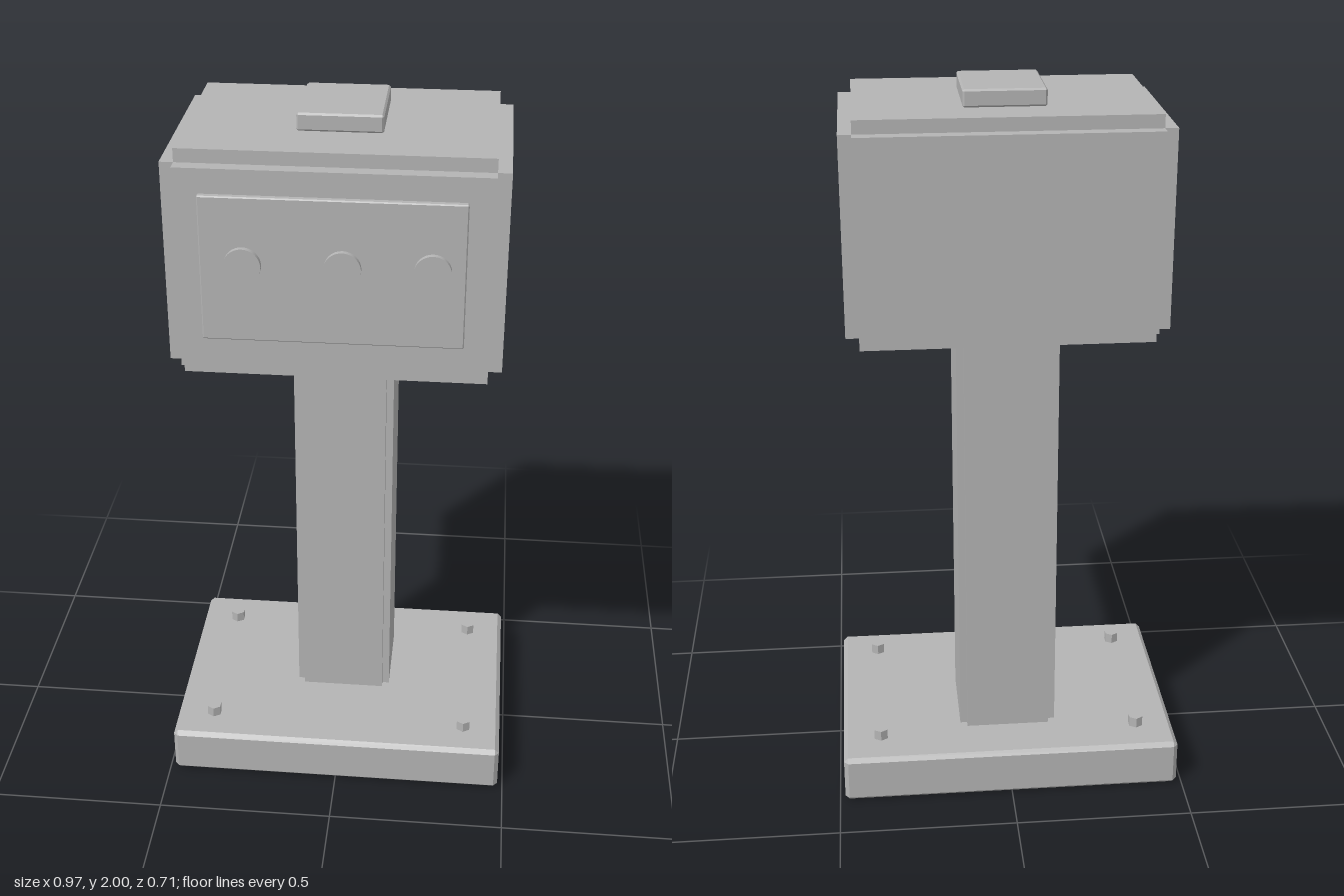
import * as THREE from 'three';
import { ConvexGeometry } from 'three/addons/geometries/ConvexGeometry.js';

const grey = new THREE.MeshStandardMaterial({ color: 0xb4b4b4 });
grey.name = 'plain grey';

// Box given by its lower and upper corners
function box(name, [x0, y0, z0], [x1, y1, z1]) {
  const mesh = new THREE.Mesh(new THREE.BoxGeometry(x1 - x0, y1 - y0, z1 - z0), grey);
  mesh.position.set((x0 + x1) / 2, (y0 + y1) / 2, (z0 + z1) / 2);
  mesh.name = name;
  return mesh;
}

// Box with every edge cut at 45 degrees by c
function chamferBox(name, lo, hi, c) {
  const half = lo.map((v, i) => (hi[i] - v) / 2);
  const points = [];
  for (const sx of [-1, 1]) for (const sy of [-1, 1]) for (const sz of [-1, 1]) {
    for (let axis = 0; axis < 3; axis++) {
      const p = [sx, sy, sz].map((s, i) => s * (half[i] - (i === axis ? 0 : c)));
      points.push(new THREE.Vector3(...p));
    }
  }
  const mesh = new THREE.Mesh(new ConvexGeometry(points), grey);
  mesh.position.set(...lo.map((v, i) => (v + hi[i]) / 2));
  mesh.name = name;
  return mesh;
}

// Box with square notches along its edges: one slab per listed axis,
// each pulled in by n along the other listed axes
function notchedBox(name, lo, hi, n, axes) {
  const group = new THREE.Group();
  group.name = name;
  for (const axis of axes) {
    const inset = i => (axes.includes(i) && i !== axis ? n : 0);
    group.add(box(name + 'Slab' + 'XYZ'[axis],
      lo.map((v, i) => v + inset(i)), hi.map((v, i) => v - inset(i))));
  }
  return group;
}

export function createModel() {
  const model = new THREE.Group();
  model.name = 'pedestalControlBox';

  // Foot, post and head
  model.add(chamferBox('basePlate', [-0.485, 0, -0.357], [0.485, 0.14, 0.338], 0.012));
  model.add(notchedBox('post', [-0.14, 0.13, -0.213], [0.14, 1.36, 0.065], 0.02, [0, 2]));
  model.add(notchedBox('head', [-0.432, 1.34, -0.26], [0.432, 1.953, 0.327], 0.036, [0, 1, 2]));

  // Lid block and front panel
  model.add(chamferBox('topCap', [-0.11, 1.953, -0.108], [0.11, 2, 0.142], 0.005));
  model.add(chamferBox('frontPanel', [-0.334, 1.464, 0.32], [0.332, 1.852, 0.343], 0.003));

  // Round buttons
  for (const x of [-0.225, 0.025, 0.249]) {
    const button = new THREE.Mesh(new THREE.CylinderGeometry(0.047, 0.047, 0.02, 32), grey);
    button.rotation.x = Math.PI / 2;
    button.position.set(x, 1.674, 0.347);
    button.name = 'button';
    model.add(button);
  }

  // Hexagonal anchor bolts
  const boltGeometry = new THREE.CylinderGeometry(0.022, 0.022, 0.04, 6).toNonIndexed();
  boltGeometry.computeVertexNormals();
  for (const x of [-0.376, 0.376]) for (const z of [-0.244, 0.233]) {
    const bolt = new THREE.Mesh(boltGeometry, grey);
    bolt.position.set(x, 0.15, z);
    bolt.name = 'anchorBolt';
    model.add(bolt);
  }
  return model;
}
